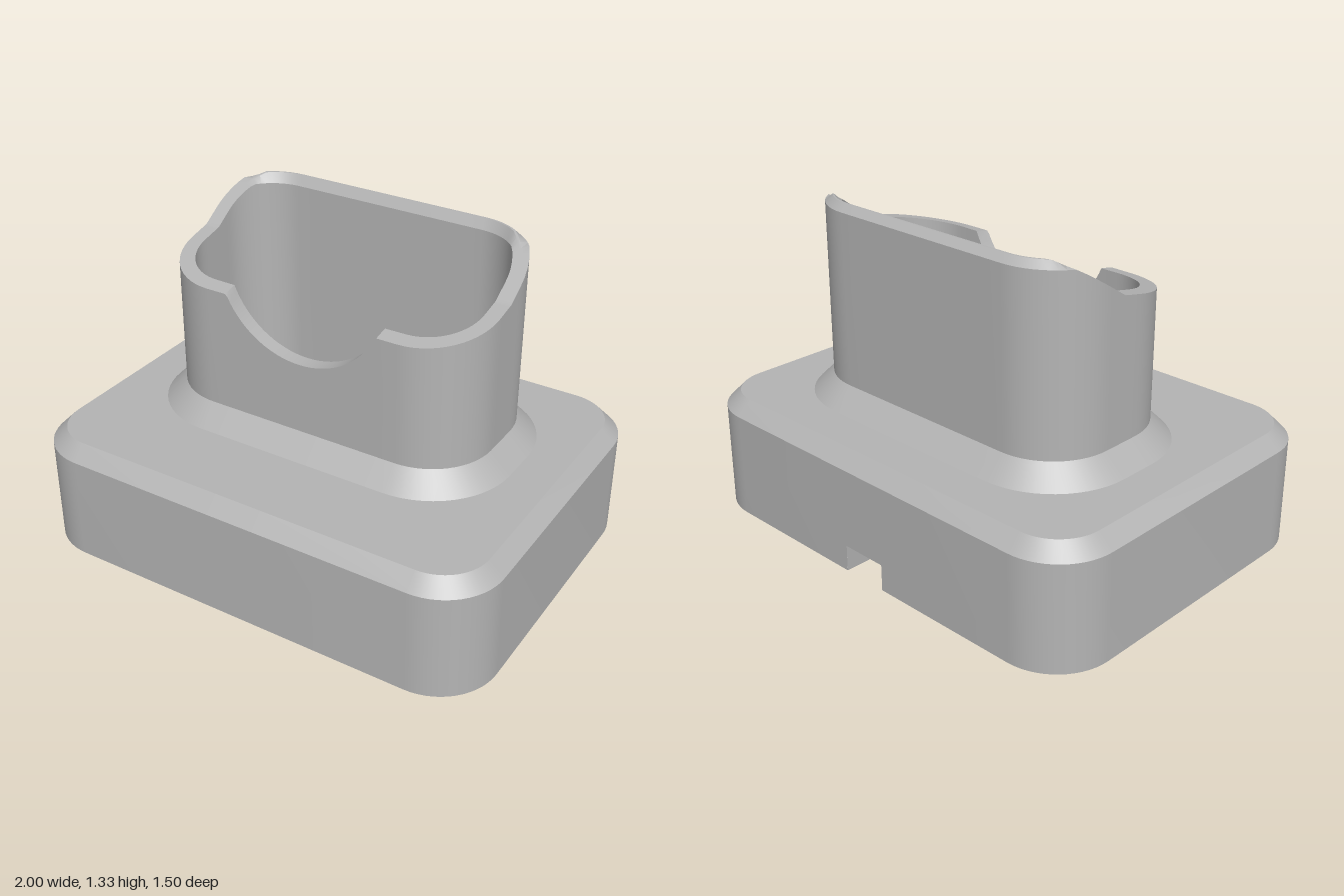
import * as THREE from 'three';
import { toCreasedNormals } from 'three/addons/utils/BufferGeometryUtils.js';

const V = (x, y, z) => new THREE.Vector3(x, y, z);

// Rounded rectangle around (0, cz): arc centres at +-ax, cz +-az, radius r; y may depend on x and z.
// xs and zs are extra ascending samples on the straight sides.
function ring({ ax, az, cz = 0, xs = [], zs = [] }, r, y) {
  const pts = [];
  const add = (x, z) => pts.push(V(x, typeof y === 'function' ? y(x, z) : y, z));
  const corner = (sx, sz, start) => {
    for (let i = 0; i <= 14; i++) {
      const t = start + (i / 14) * Math.PI / 2;
      add(sx * ax + r * Math.cos(t), cz + sz * az + r * Math.sin(t));
    }
  };
  corner(1, 1, 0);
  [...xs].reverse().forEach(x => add(x, cz + az + r));
  corner(-1, 1, Math.PI / 2);
  [...zs].reverse().forEach(z => add(-ax - r, z));
  corner(-1, -1, Math.PI);
  xs.forEach(x => add(x, cz - az - r));
  corner(1, -1, Math.PI * 1.5);
  zs.forEach(z => add(ax + r, z));
  return pts;
}

// Skin over successive cross-sections
function loft(rows, closed = true) {
  const pos = [], n = rows[0].length;
  for (let k = 0; k + 1 < rows.length; k++) {
    for (let i = 0; i < (closed ? n : n - 1); i++) {
      const j = (i + 1) % n;
      const [a, b, c, d] = [rows[k][i], rows[k + 1][i], rows[k + 1][j], rows[k][j]];
      for (const p of [a, b, c, a, c, d]) pos.push(p.x, p.y, p.z);
    }
  }
  const g = new THREE.BufferGeometry();
  g.setAttribute('position', new THREE.Float32BufferAttribute(pos, 3));
  return toCreasedNormals(g, 0.5);
}

// Flat horizontal face with holes, looking up or down
function cap(points, holes, y, up) {
  const s = up ? -1 : 1;
  const flat = pts => pts.map(p => new THREE.Vector2(p.x, s * p.z));
  const shape = new THREE.Shape(flat(points));
  shape.holes = holes.map(h => new THREE.Path(flat(h)));
  return new THREE.ShapeGeometry(shape).rotateX(s * Math.PI / 2).translate(0, y, 0);
}

export function createModel() {
  const model = new THREE.Group();
  model.name = 'chargingDock';
  const grey = new THREE.MeshStandardMaterial({ color: 0xb4b4b4, side: THREE.DoubleSide });
  grey.name = 'grey plastic';
  const add = (name, geometry) => {
    const m = new THREE.Mesh(geometry, grey);
    m.name = name;
    model.add(m);
    return m;
  };

  const base = { ax: 0.75, az: 0.5, xs: [-0.1005, -0.1, 0.1, 0.1005] };
  const notchXs = [];
  for (let i = -16; i <= 16; i++) notchXs.push(0.364 * Math.sin(i / 16 * 1.17));
  const tower = {
    ax: 0.42, az: 0.0825, cz: -0.0825, xs: notchXs,
    zs: [-0.14, -0.12, -0.105, -0.09, -0.075, -0.06, -0.03],
  };
  const R = 0.27, WALL = 0.0625, FLOOR = 0.4, POCKET = 0.3;

  // Base block with a chamfered top and a cable opening in the back
  const opening = (x, z) => (z < 0 && Math.abs(x) < 0.1003 ? 0.11 : 0);
  add('baseSides', loft([ring(base, 0.25, opening), ring(base, 0.25, 0.44), ring(base, 0.19, 0.5)]));
  add('baseTop', cap(ring(base, 0.19, 0), [ring(tower, R + 0.085, 0)], 0.5, true));

  // Tower: flared foot, sloping rim with chamfered back, finger notch, inner wall
  const rim = z => Math.min(1.333, z > -0.09 ? 1.09 + (0.27 - z) * 0.208 : 1.165 + (-0.09 - z) * 0.646);
  const edge = limit => (x, z) => {
    let y = Math.min(limit, rim(z));
    if (z > 0.15 && Math.abs(x) < 0.36) y = Math.min(y, 1.244 - Math.sqrt(0.364 ** 2 - x * x));
    return y;
  };
  add('tower', loft([
    ring(tower, R + 0.085, 0.5),
    ring(tower, R, 0.585),
    ring(tower, R, edge(1.305)),
    ring(tower, R - 0.03, edge(2)),
    ring(tower, R - 0.038, edge(2)),
    ring(tower, R - WALL, edge(1.293)),
    ring(tower, R - WALL, FLOOR),
  ]));

  // Cradle floor with the connector shaft
  const shaft = { ax: 0.115, az: 0.06, cz: -0.085 };
  const shaftRing = y => ring(shaft, 0.016, y);
  add('cradleFloor', cap(ring(tower, R - WALL, 0), [shaftRing(0)], FLOOR, true));
  add('connectorShaft', loft([shaftRing(FLOOR), shaftRing(POCKET)]));

  // Connector pocket under the base
  const pocketRow = y => {
    const pts = [V(0.14, y, -0.5)];
    for (const s of [1, -1]) {
      for (let i = 0; i <= 5; i++) {
        const t = (s > 0 ? i : 5 - i) / 5 * Math.PI / 2;
        pts.push(V(s * (0.115 + 0.025 * Math.cos(t)), y, -0.025 + 0.025 * Math.sin(t)));
      }
    }
    pts.push(V(-0.14, y, -0.5));
    return pts;
  };
  add('pocketWalls', loft([pocketRow(POCKET), pocketRow(0)], false));
  add('pocketCeiling', cap(pocketRow(0), [shaftRing(0)], POCKET, false));
  const back = new THREE.Shape([
    [-0.14, 0], [-0.1, 0], [-0.1, 0.17], [0.1, 0.17], [0.1, 0], [0.14, 0], [0.14, POCKET], [-0.14, POCKET],
  ].map(p => new THREE.Vector2(...p)));
  add('pocketBack', new THREE.ShapeGeometry(back).translate(0, 0, -0.5));

  // Cable channel running out of the back
  const channel = [[-0.75, 0.11], [-0.6, 0.17], [-0.5, 0.17]].map(([z, h]) =>
    [V(0.1, 0, z), V(0.1, h, z), V(-0.1, h, z), V(-0.1, 0, z)]);
  add('cableChannel', loft(channel, false));

  // Underside, cut out for the pocket, channel and four foot recesses
  const outline = [];
  for (const p of ring(base, 0.25, 0)) {
    const atBack = p.z < -0.7 && Math.abs(p.x) < 0.11;
    if (!atBack) outline.push(p);
    else if (p.x === -0.1) {
      outline.push(p, V(-0.1, 0, -0.5), ...pocketRow(0).reverse(), V(0.1, 0, -0.5), V(0.1, 0, -0.75));
    }
  }
  const feet = [];
  for (const x of [-0.75, 0.75]) {
    for (const z of [-0.5, 0.5]) {
      const circle = y => ring({ ax: 0, az: 0, cz: z }, 0.11, y).map(p => p.setX(p.x + x));
      feet.push(circle(0));
      add('footRecessWall', loft([circle(0.045), circle(0)]));
      add('footRecessTop', cap(circle(0), [], 0.045, false));
    }
  }
  add('underside', cap(outline, feet, 0, false));

  return model;
}
